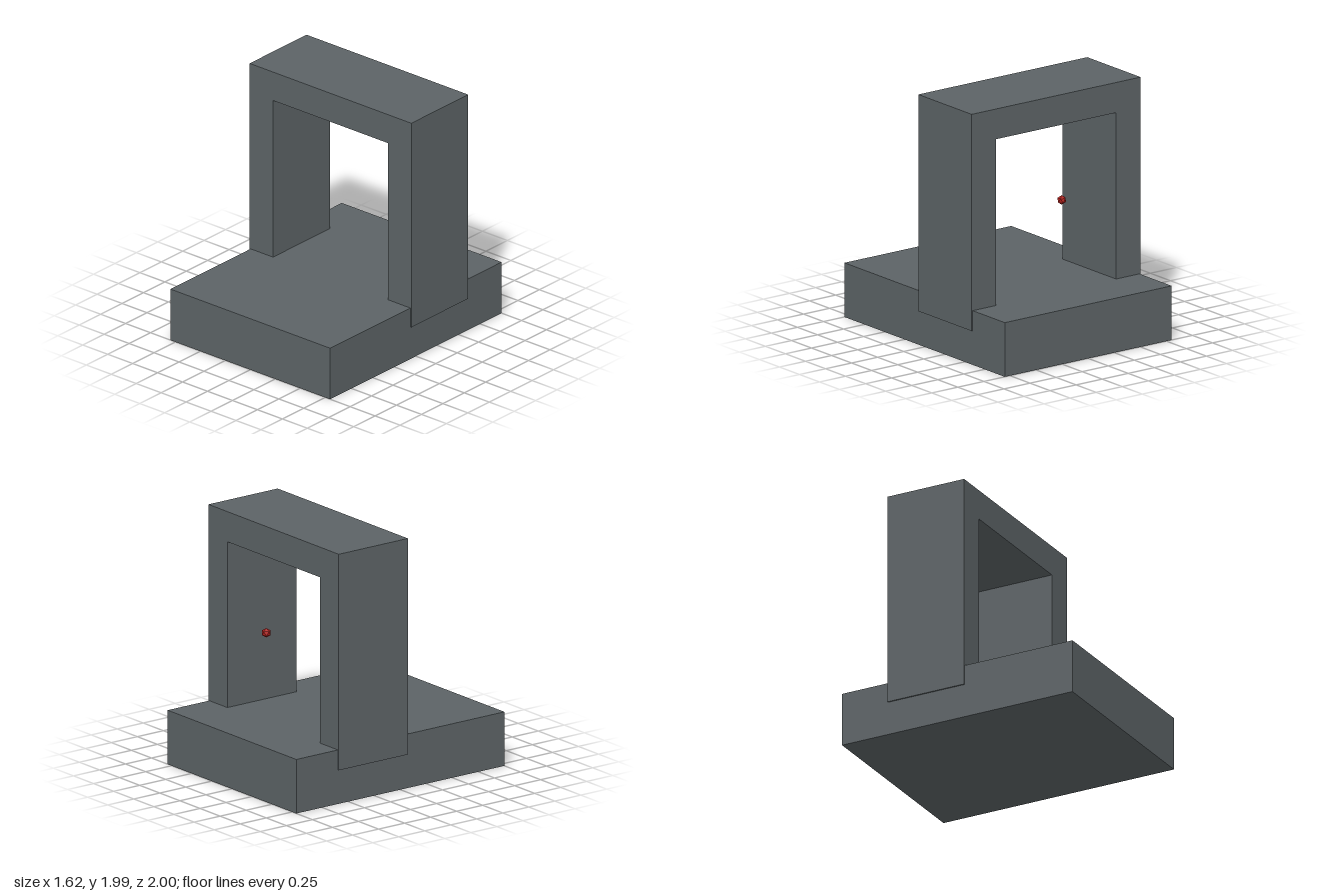
import * as THREE from 'three';

export function createModel() {
  const model = new THREE.Group();
  const stone = new THREE.MeshStandardMaterial({ color: 0x5c6366 });
  const red = new THREE.MeshStandardMaterial({ color: 0xb3201c, flatShading: true });

  const add = (name, geometry, material, x, y, z) => {
    const mesh = new THREE.Mesh(geometry, material);
    mesh.name = name;
    mesh.position.set(x, y, z);
    model.add(mesh);
    return mesh;
  };

  // Slab the gateway stands on
  const baseHeight = 0.43;
  add('base', new THREE.BoxGeometry(1.6, baseHeight, 2), stone, 0, baseHeight / 2, 0);

  // Gateway: two legs and a lintel in one piece, its feet overlapping the slab's sides
  const outer = 0.81, inner = 0.575, foot = 0.27, soffit = 1.75, top = 1.99;
  const outline = new THREE.Shape([
    [-outer, foot], [-inner, foot], [-inner, soffit], [inner, soffit],
    [inner, foot], [outer, foot], [outer, top], [-outer, top],
  ].map(([x, y]) => new THREE.Vector2(x, y)));
  const back = -0.6, front = 0.065;
  add('gateway', new THREE.ExtrudeGeometry(outline, { depth: front - back, bevelEnabled: false }),
    stone, 0, 0, back);

  // Small floating marker behind the opening, one corner pointing straight up
  const marker = new THREE.IcosahedronGeometry(0.037, 0);
  marker.rotateZ(Math.atan(2 / (1 + Math.sqrt(5))));
  add('marker', marker, red, 0, 1.18, -0.67);

  return model;
}
